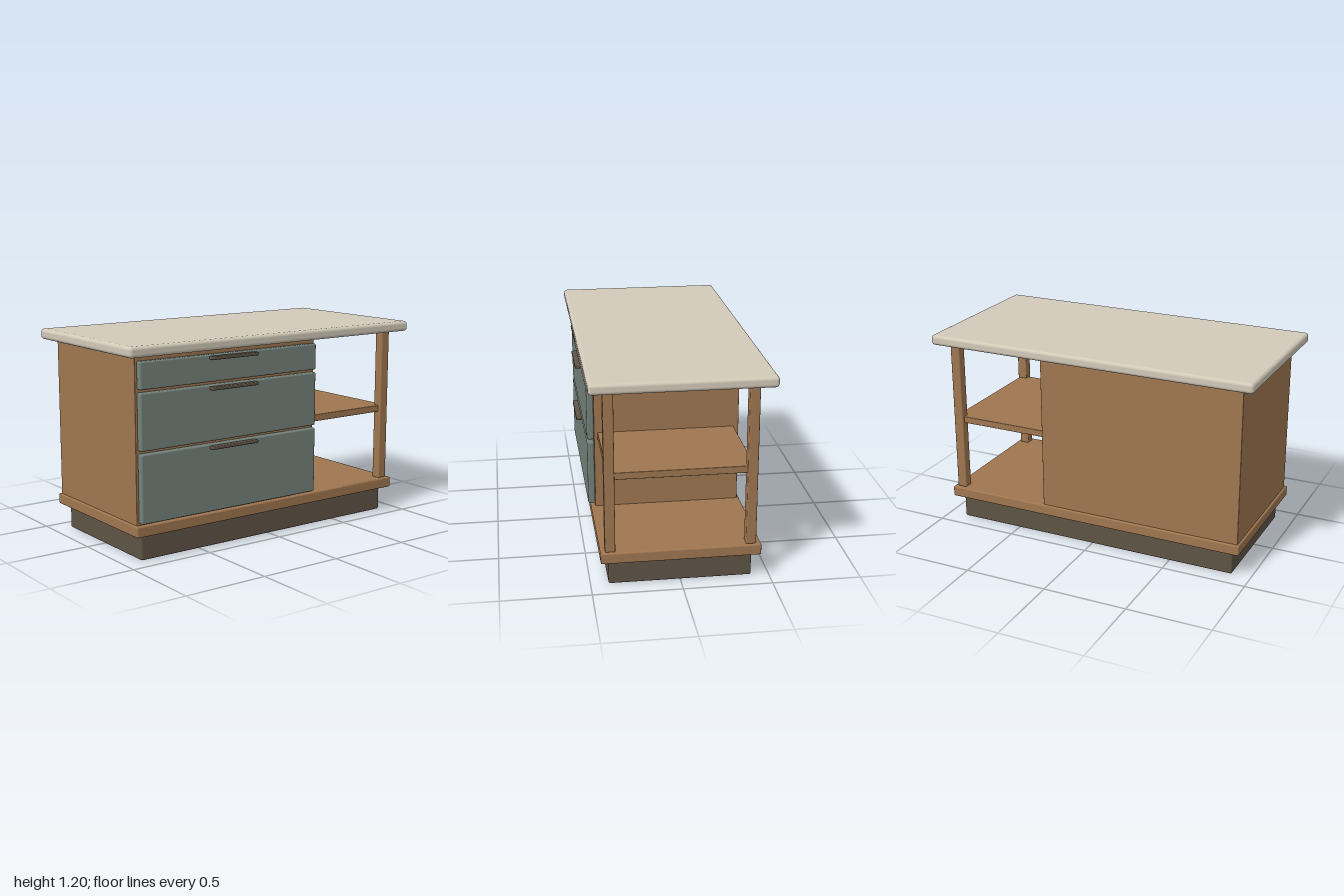
import * as THREE from 'three';
import { RoundedBoxGeometry } from 'three/addons/geometries/RoundedBoxGeometry.js';

const material = (name, color) => {
  const m = new THREE.MeshStandardMaterial({ color });
  m.name = name;
  return m;
};

export function createModel() {
  const stone = material('pale stone', 0xd2c9b8);
  const wood = material('warm wood', 0x9f7650);
  const green = material('sage green', 0x74827a);
  const dark = material('dark brown', 0x5f5446);

  const model = new THREE.Group();
  model.name = 'kitchenIsland';

  // Softly rounded box given by its extents on each axis
  const block = (name, mat, [x0, x1], [y0, y1], [z0, z1], radius, parent = model) => {
    const geometry = new RoundedBoxGeometry(x1 - x0, y1 - y0, z1 - z0, 3, radius);
    const mesh = new THREE.Mesh(geometry, mat);
    mesh.name = name;
    mesh.position.set((x0 + x1) / 2, (y0 + y1) / 2, (z0 + z1) / 2);
    parent.add(mesh);
    return mesh;
  };

  // Plinth, base board and worktop
  block('plinth', dark, [-0.887, 0.887], [0, 0.148], [-0.4, 0.4], 0.01);
  block('baseBoard', wood, [-0.938, 0.938], [0.147, 0.21], [-0.445, 0.445], 0.008);
  block('worktop', stone, [-1, 1], [1.139, 1.2], [-0.5, 0.5], 0.02);

  // Closed cabinet on the right-hand side
  block('cabinet', wood, [-0.925, 0.308], [0.208, 1.14], [-0.43, 0.42], 0.003);

  // Open end: two posts and a shelf
  block('frontPost', wood, [0.86, 0.92], [0.208, 1.14], [0.363, 0.42], 0.007);
  block('backPost', wood, [0.86, 0.92], [0.208, 1.14], [-0.418, -0.361], 0.007);
  block('shelf', wood, [0.3, 0.912], [0.632, 0.673], [-0.4, 0.4], 0.004);

  // Drawers, each with a bar handle near its top edge
  [[0.222, 0.61], [0.626, 0.943], [0.959, 1.112]].forEach(([bottom, top], i) => {
    const drawer = new THREE.Group();
    drawer.name = `drawer${i + 1}`;
    block('drawerFront', green, [-0.915, 0.297], [bottom, top], [0.419, 0.46], 0.01, drawer);
    block('handle', dark, [-0.468, -0.15], [top - 0.027, top - 0.008], [0.455, 0.492], 0.006, drawer);
    model.add(drawer);
  });

  return model;
}
